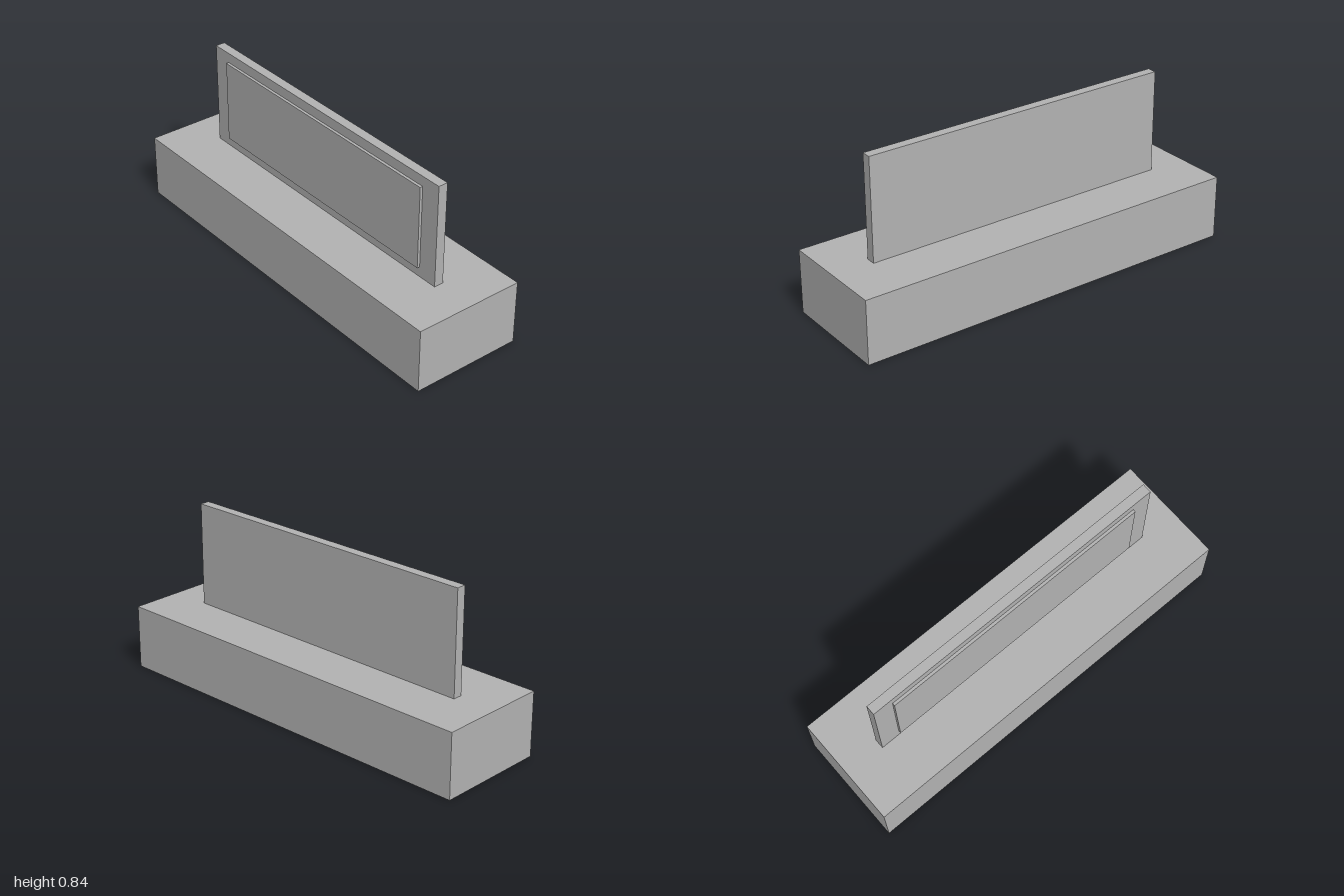
import * as THREE from 'three';

export function createModel() {
  const model = new THREE.Group();
  const stone = new THREE.MeshStandardMaterial({ color: 0xb2b2b2 });
  stone.name = 'grey stone';

  // Box given by its width, vertical span and depth span, centred on x
  const addBlock = (name, width, y0, y1, z0, z1) => {
    const mesh = new THREE.Mesh(new THREE.BoxGeometry(width, y1 - y0, z1 - z0), stone);
    mesh.name = name;
    mesh.position.set(0, (y0 + y1) / 2, (z0 + z1) / 2);
    model.add(mesh);
  };

  addBlock('base', 2, 0, 0.32, -0.28, 0.28);
  addBlock('uprightSlab', 1.6, 0.32, 0.836, -0.024, 0.024);
  // Raised panel on the front of the slab
  addBlock('frontPanel', 1.4, 0.37, 0.786, 0.024, 0.038);

  return model;
}
